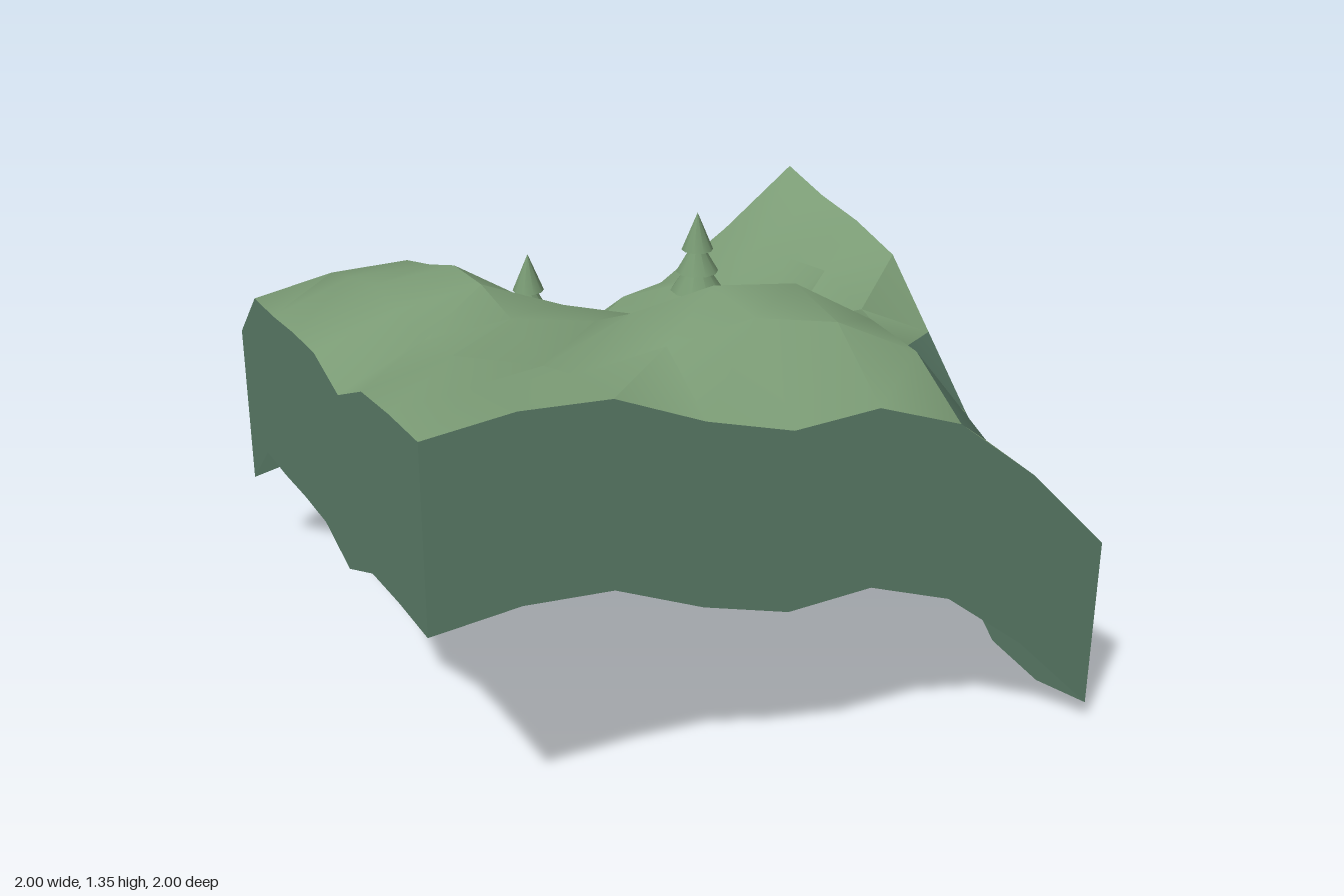
import * as THREE from 'three';
import { toCreasedNormals } from 'three/addons/utils/BufferGeometryUtils.js';

// terrain heights: rows run from back (z = -1) to front (z = 1), columns from x = -1 to x = 1
const HEIGHTS = [
  [0.83, 0.89, 0.895, 0.75, 0.64, 0.69, 0.78, 0.95, 1.15],
  [1.03, 1.08, 1.087, 0.81, 0.69, 0.85, 0.87, 0.97, 1.115],
  [1.06, 1.15, 1.155, 0.98, 0.84, 0.855, 0.87, 1.00, 1.10],
  [1.10, 1.21, 1.235, 1.08, 1.00, 0.87, 0.87, 1.04, 1.06],
  [1.13, 1.22, 1.26, 1.16, 1.09, 1.02, 0.985, 0.995, 0.88],
  [1.10, 1.22, 1.245, 1.20, 1.165, 1.15, 1.10, 0.95, 0.70],
  [1.21, 1.27, 1.20, 1.31, 1.355, 1.325, 1.178, 0.86, 0.54],
  [1.25, 1.29, 1.27, 1.31, 1.35, 1.30, 1.175, 0.86, 0.535],
  [1.28, 1.315, 1.305, 1.20, 1.13, 1.15, 1.06, 0.86, 0.60],
];
const N = 8;
const STEP = 2 / N;
const DEPTH = 0.533;
const CREASE = 0.53;

const mat = (name, color, side = THREE.FrontSide) => {
  const m = new THREE.MeshStandardMaterial({ color, side });
  m.name = name;
  return m;
};

const point = (i, j) => [-1 + i * STEP, HEIGHTS[j][i], -1 + j * STEP];

// which half-cells are water: "column,row,half" (0 = back-left half, 1 = front-right half)
const WATER = new Set([
  '7,4,1', '6,5,1', '7,5,1',
  '6,6,0', '6,6,1', '7,6,0', '7,6,1',
  '6,7,0', '7,7,0',
]);

// top surface made of either the water faces or the grass faces
function makeSurface(name, isWater, material) {
  const positions = [];
  for (let j = 0; j < N; j++) {
    for (let i = 0; i < N; i++) {
      const a = point(i, j), b = point(i, j + 1), c = point(i + 1, j + 1), d = point(i + 1, j);
      [[a, b, d], [b, c, d]].forEach((tri, half) => {
        if (WATER.has(`${i},${j},${half}`) === isWater) positions.push(...tri.flat());
      });
    }
  }
  const geo = new THREE.BufferGeometry();
  geo.setAttribute('position', new THREE.Float32BufferAttribute(positions, 3));
  const mesh = new THREE.Mesh(toCreasedNormals(geo, CREASE), material);
  mesh.name = name;
  return mesh;
}

// one side wall hanging below a border of the ground, open at the bottom
function makeWall(name, border, material) {
  const positions = [];
  const index = [];
  border.forEach(([x, y, z], k) => {
    positions.push(x, y, z, x, y - DEPTH, z);
    if (k < N) {
      const t = k * 2;
      index.push(t, t + 1, t + 2, t + 1, t + 3, t + 2);
    }
  });
  const geo = new THREE.BufferGeometry();
  geo.setAttribute('position', new THREE.Float32BufferAttribute(positions, 3));
  geo.setIndex(index);
  geo.computeVertexNormals();
  const mesh = new THREE.Mesh(geo, material);
  mesh.name = name;
  return mesh;
}

// conifer: thin trunk and three stacked cones
function makeTree(x, y, z, foliage, bark) {
  const tree = new THREE.Group();
  tree.name = 'tree';
  const trunk = new THREE.Mesh(new THREE.CylinderGeometry(0.014, 0.018, 0.12, 8), bark);
  trunk.name = 'trunk';
  trunk.position.y = 0.06;
  tree.add(trunk);
  for (const [radius, base, height] of [[0.088, 0.075, 0.13], [0.07, 0.14, 0.12], [0.052, 0.215, 0.125]]) {
    const cone = new THREE.Mesh(new THREE.ConeGeometry(radius, height, 10), foliage);
    cone.name = 'foliage';
    cone.position.y = base + height / 2;
    tree.add(cone);
  }
  tree.position.set(x, y, z);
  return tree;
}

export function createModel() {
  const grass = mat('grass', 0x7e9f78, THREE.DoubleSide);
  const water = mat('water', 0x5e806c, THREE.DoubleSide);
  const earth = mat('earth', 0x5c7d69, THREE.DoubleSide);
  const foliage = mat('foliage', 0x769771);
  const bark = mat('bark', 0x4a5f4d);

  const model = new THREE.Group();
  model.name = 'terrainTile';
  model.add(makeSurface('grassGround', false, grass), makeSurface('pond', true, water));

  // borders run left to right as seen from outside
  const steps = [...Array(N + 1).keys()];
  model.add(
    makeWall('frontWall', steps.map((k) => point(k, N)), earth),
    makeWall('leftWall', steps.map((k) => point(N, N - k)), earth),
    makeWall('backWall', steps.map((k) => point(N - k, 0)), earth),
    makeWall('rightWall', steps.map((k) => point(0, k)), earth),
  );

  model.add(
    makeTree(-0.09, 0.71, -0.75, foliage, bark),
    makeTree(0.41, 0.865, -0.5, foliage, bark),
  );
  return model;
}
